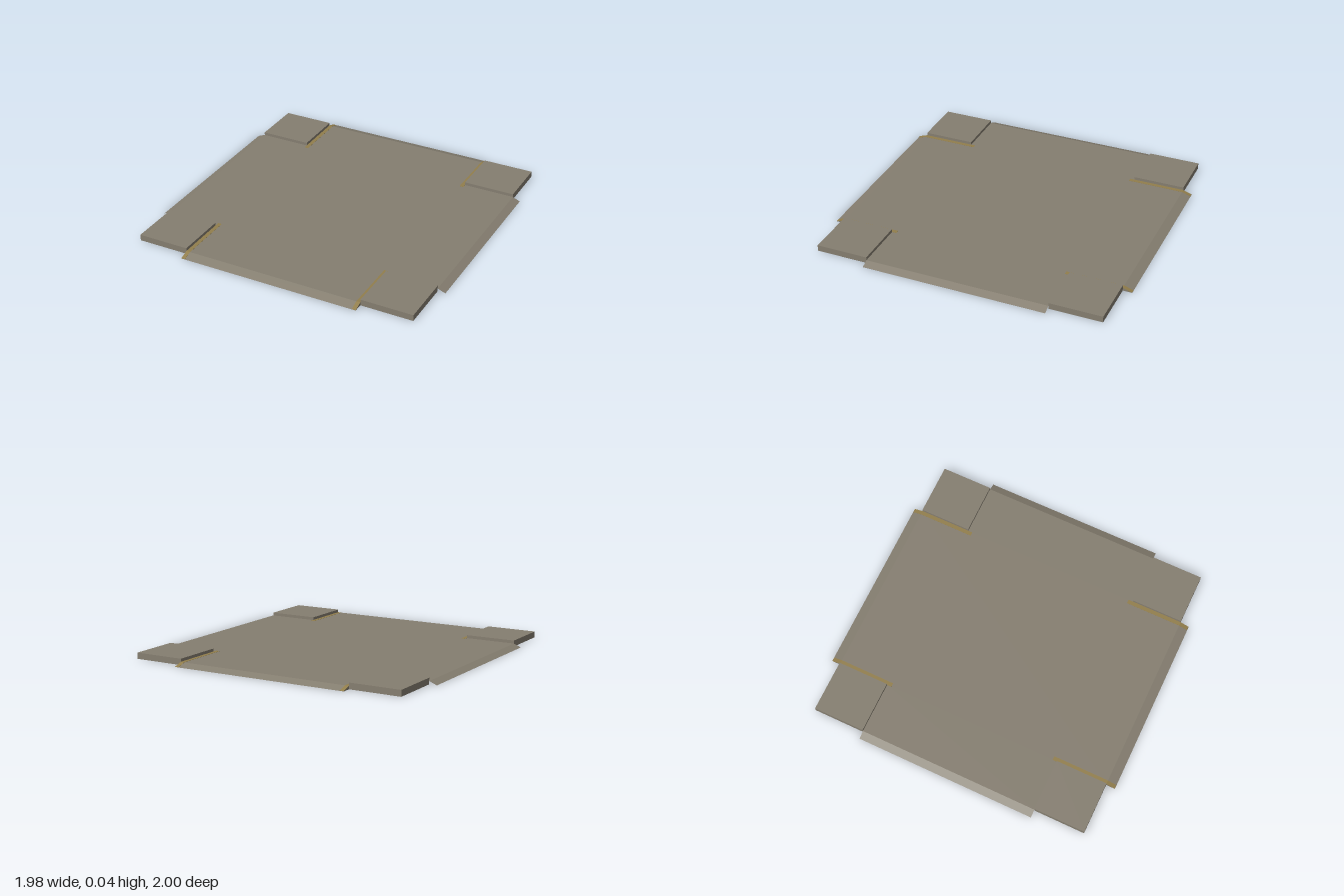
import * as THREE from 'three';

const INNER = 0.6, OUTER = 0.94, DECK = 0.02, BLOCK = 0.04;

// Extrudes a z/y profile along x, centred on the given x
function profileBar(points, width, x) {
  const shape = new THREE.Shape(points.map(([z, y]) => new THREE.Vector2(z, y)));
  const geo = new THREE.ExtrudeGeometry(shape, { depth: width, bevelEnabled: false });
  geo.translate(0, 0, -width / 2);
  geo.rotateY(-Math.PI / 2);
  geo.translate(x, 0, 0);
  return geo;
}

// Open sheet: flat, then sloping down to the ground at its outer edge
function armSheet() {
  const plane = new THREE.PlaneGeometry(1, INNER * 2, 2, 1);
  plane.rotateX(-Math.PI / 2);
  const xs = [INNER, OUTER, 0.99], ys = [DECK, DECK, 0];
  const pos = plane.attributes.position;
  for (let i = 0; i < pos.count; i++) {
    pos.setX(i, xs[i % 3]);
    pos.setY(i, ys[i % 3]);
  }
  const geo = plane.toNonIndexed();
  geo.computeVertexNormals();
  return geo;
}

// Box without its bottom face
function openBlock() {
  const size = OUTER - INNER;
  const geo = new THREE.BoxGeometry(size, BLOCK, size);
  const index = Array.from(geo.index.array);
  index.splice(18, 6);
  geo.setIndex(index);
  geo.clearGroups();
  return geo;
}

export function createModel() {
  const stone = new THREE.MeshStandardMaterial({ color: 0x857e70, side: THREE.DoubleSide });
  stone.name = 'warm grey';
  const gold = new THREE.MeshStandardMaterial({ color: 0x927e4c });
  gold.name = 'dull gold';

  const model = new THREE.Group();
  model.name = 'floorPlate';
  const add = (name, geo, mat) => {
    const mesh = new THREE.Mesh(geo, mat);
    mesh.name = name;
    model.add(mesh);
    return mesh;
  };

  // Long central deck with ramped front and back ends
  add('centralDeck', profileBar(
    [[-1, 0], [1, 0], [OUTER, DECK], [-OUTER, DECK]], INNER * 2, 0), stone);

  const block = openBlock();
  const mid = (INNER + OUTER) / 2;
  for (const side of [1, -1]) {
    const label = side > 0 ? 'left' : 'right';

    // Side arm with a ramped outer edge
    const arm = add(label + 'Arm', armSheet(), stone);
    if (side < 0) arm.rotation.y = Math.PI;

    for (const end of [1, -1]) {
      const place = label + (end > 0 ? 'Front' : 'Back');

      // Raised corner block
      add(place + 'CornerBlock', block, stone)
        .position.set(side * mid, BLOCK / 2, end * mid);

      // Thin trim strip following the deck and its ramp
      const t = 0.001;
      const points = [[0.57, DECK], [OUTER, DECK], [0.998, 0.0007],
        [0.998, 0.0007 + t], [OUTER, DECK + t], [0.57, DECK + t]];
      add(place + 'TrimStrip', profileBar(
        points.map(([z, y]) => [end * z, y]), 0.026, side * 0.587), gold);
    }
  }
  return model;
}
